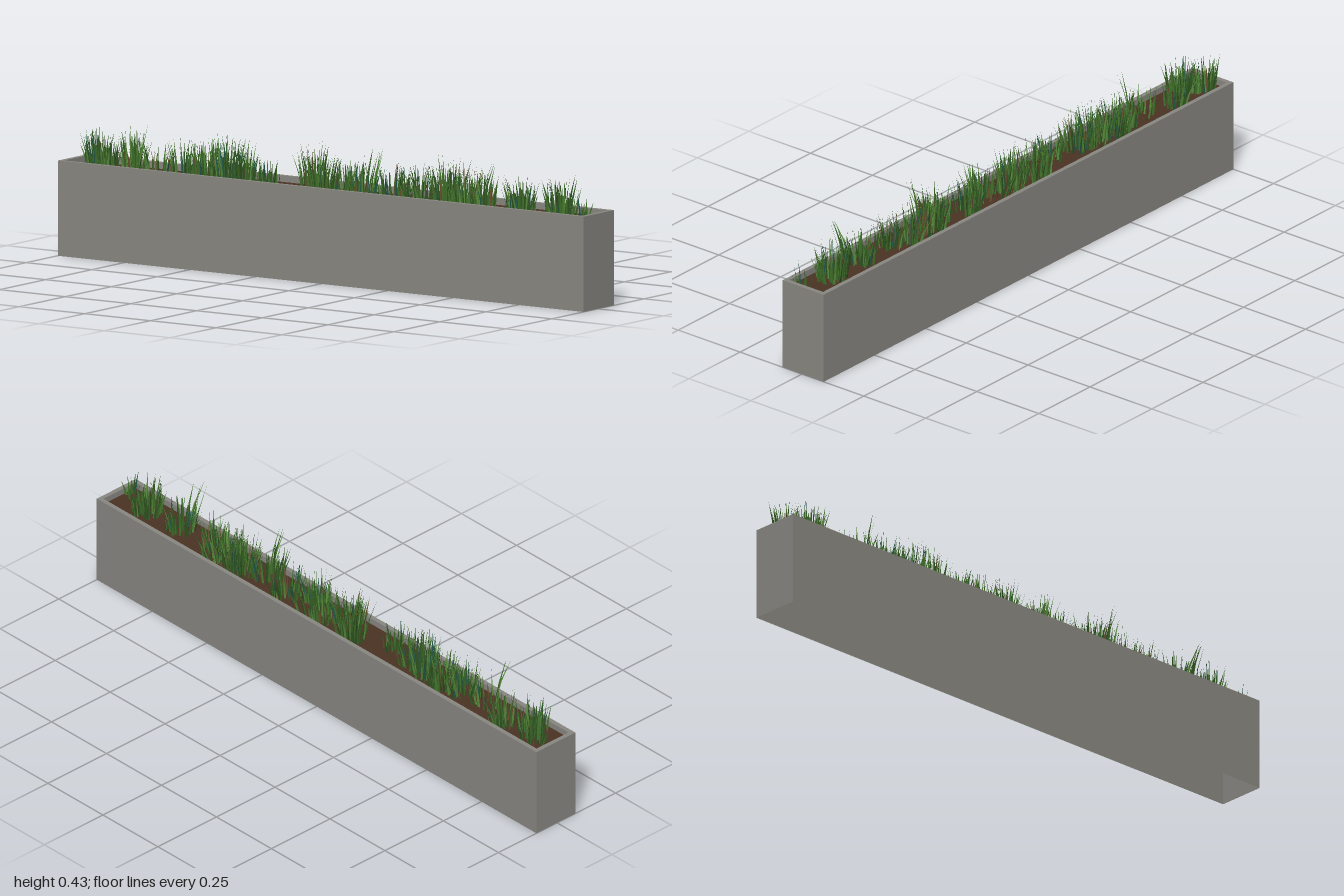
import * as THREE from 'three';

const flat = (name, color) => new THREE.MeshStandardMaterial({ name, color, side: THREE.DoubleSide });

// small seeded generator
function seeded(s) {
  return () => {
    s = (s * 1664525 + 1013904223) % 4294967296;
    return s / 4294967296;
  };
}

// four upright walls around a rectangle; dir = 1 faces outward, -1 inward
function wallLoop(hx, hz, y0, y1, dir) {
  const c = [[-hx, hz], [hx, hz], [hx, -hz], [-hx, -hz]];
  const pos = [];
  for (let i = 0; i < 4; i++) {
    let a = c[i], b = c[(i + 1) % 4];
    if (dir < 0) [a, b] = [b, a];
    const [p, q, r, s] = [[a[0], y0, a[1]], [b[0], y0, b[1]], [b[0], y1, b[1]], [a[0], y1, a[1]]];
    pos.push(...p, ...q, ...r, ...p, ...r, ...s);
  }
  return toGeometry(pos);
}

function toGeometry(pos) {
  const g = new THREE.BufferGeometry();
  g.setAttribute('position', new THREE.Float32BufferAttribute(pos, 3));
  g.computeVertexNormals();
  return g;
}

function rectangle(path, hx, hz) {
  path.moveTo(-hx, -hz);
  path.lineTo(hx, -hz);
  path.lineTo(hx, hz);
  path.lineTo(-hx, hz);
  path.closePath();
  return path;
}

// one tapering blade that bends as it rises
function addBlade(pos, x, y, z, height, lean, leanAngle, yaw, width) {
  const wx = Math.cos(yaw) * width / 2, wz = Math.sin(yaw) * width / 2;
  const rows = [[0, 1], [0.45, 0.75], [1, 0]].map(([t, w]) => {
    const out = lean * Math.pow(t, 1.4);
    const cx = x + Math.cos(leanAngle) * out, cz = z + Math.sin(leanAngle) * out, cy = y + height * t;
    return [[cx - wx * w, cy, cz - wz * w], [cx + wx * w, cy, cz + wz * w]];
  });
  const [[a, b], [c, d], [tip]] = rows;
  pos.push(...a, ...b, ...d, ...a, ...d, ...c, ...c, ...d, ...tip);
}

export function createModel() {
  const model = new THREE.Group();
  model.name = 'grassPlanter';
  const CX = 0.005, HX = 0.083, HZ = 1, TOP = 0.3, RIM = 0.015, SOIL = 0.28;

  const concrete = flat('concrete', 0x888680);
  const soilMat = flat('soil', 0x4a3222);
  const greens = [
    flat('midGreen', 0x3f6f29),
    flat('darkGreen', 0x2f5521),
    flat('brightGreen', 0x55883a),
    flat('tealGreen', 0x22594a),
    flat('dryBrown', 0x6a5030),
  ];

  const add = (name, geometry, material) => {
    const m = new THREE.Mesh(geometry, material);
    m.name = name;
    m.position.x = CX;
    model.add(m);
    return m;
  };

  // trough: thin outer shell open below, flat rim and inner lip
  add('outerWalls', wallLoop(HX, HZ, 0, TOP, 1), concrete);
  add('innerLip', wallLoop(HX - RIM, HZ - RIM, SOIL, TOP, -1), concrete);
  const rimShape = rectangle(new THREE.Shape(), HX, HZ);
  rimShape.holes.push(rectangle(new THREE.Path(), HX - RIM, HZ - RIM));
  add('rim', new THREE.ShapeGeometry(rimShape).rotateX(-Math.PI / 2).translate(0, TOP, 0), concrete);

  // soil bed
  const soil = new THREE.PlaneGeometry(2 * (HX - RIM), 2 * (HZ - RIM)).rotateX(-Math.PI / 2).translate(0, SOIL, 0);
  add('soil', soil, soilMat);

  // grass clumps: z, x, spread, tallest blade, blade count
  const clumps = [
    [-0.93, 0.03, 0.04, 0.13, 55], [-0.87, -0.02, 0.05, 0.13, 70], [-0.79, 0.03, 0.04, 0.14, 55],
    [-0.67, -0.02, 0.05, 0.11, 30], [-0.57, -0.01, 0.05, 0.13, 55], [-0.5, 0.01, 0.05, 0.14, 75],
    [-0.42, 0, 0.05, 0.16, 85], [-0.35, -0.01, 0.05, 0.14, 65], [-0.24, -0.03, 0.04, 0.1, 40],
    [-0.1, 0.03, 0.05, 0.155, 50], [-0.04, -0.02, 0.05, 0.13, 70], [0.03, 0.03, 0.05, 0.12, 45],
    [0.11, -0.02, 0.05, 0.13, 70], [0.21, 0.01, 0.05, 0.12, 50], [0.33, -0.02, 0.05, 0.14, 60],
    [0.41, 0.02, 0.05, 0.165, 85], [0.49, 0.01, 0.05, 0.15, 70], [0.57, -0.01, 0.04, 0.13, 50],
    [0.71, -0.01, 0.05, 0.13, 75], [0.86, 0, 0.05, 0.14, 85], [0.96, -0.03, 0.03, 0.09, 12],
  ];
  const rand = seeded(71);
  const blades = greens.map(() => []);
  const pickColour = () => {
    const r = rand();
    return r < 0.4 ? 0 : r < 0.68 ? 1 : r < 0.88 ? 2 : r < 0.95 ? 3 : 4;
  };
  const limit = THREE.MathUtils.clamp;
  for (const [cz, cx, spread, tall, count] of clumps) {
    for (let i = 0; i < count; i++) {
      const angle = rand() * Math.PI * 2, radius = Math.sqrt(rand());
      const x = limit(cx + Math.cos(angle) * radius * spread, -0.062, 0.062);
      const z = limit(cz + Math.sin(angle) * radius * spread, -0.975, 0.975);
      const height = tall * (0.4 + 0.6 * rand()) * (1.05 - 0.25 * radius);
      const lean = height * (0.05 + 0.3 * radius * rand());
      const bendAngle = angle + (rand() - 0.5) * 1.2;
      addBlade(blades[pickColour()], x, SOIL, z, height, lean, bendAngle, rand() * Math.PI, 0.005 + 0.004 * rand());
    }
  }
  // stray blades leaning over the rim: z, side
  for (const [z, side] of [[-0.78, 1], [-0.66, -1], [0.08, 1], [0.1, 1], [0.35, -1], [0.52, 1], [0.71, -1], [0.73, -1]]) {
    for (let i = 0; i < 3; i++) {
      const height = 0.11 + 0.025 * rand();
      const lean = 0.035 + 0.011 * i;
      addBlade(blades[i], side * 0.062, SOIL, z + (rand() - 0.5) * 0.03, height, lean,
        (side > 0 ? 0 : Math.PI) + (rand() - 0.5) * 0.4, rand() * Math.PI, 0.007);
    }
  }
  greens.forEach((material, i) => add('grass_' + material.name, toGeometry(blades[i]), material));

  return model;
}
